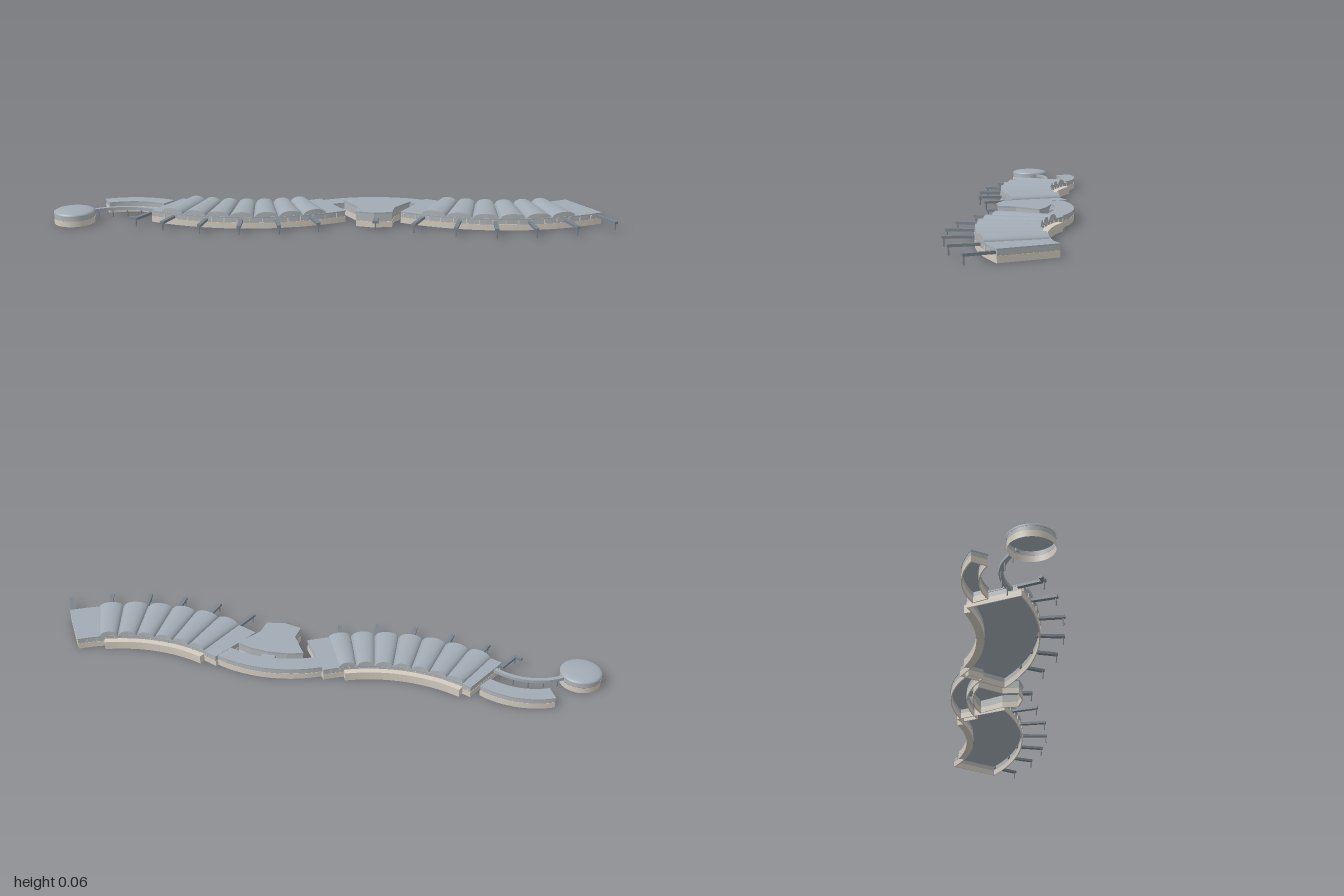
import * as THREE from 'three';

const mat = (name, color, side = THREE.FrontSide) => {
  const m = new THREE.MeshStandardMaterial({ color, side });
  m.name = name;
  return m;
};
const RAD = Math.PI / 180;

export function createModel() {
  const roof = mat('blue grey roofing', 0xa2abb4);
  const wall = mat('pale beige wall', 0xd4ccc0, THREE.DoubleSide);
  const glass = mat('grey glazing', 0xb0b5b7, THREE.DoubleSide);
  const steel = mat('grey steel', 0x7a848d);
  const model = new THREE.Group();
  model.name = 'terminal';

  const add = (parent, name, geo, material) => {
    const m = new THREE.Mesh(geo, material);
    m.name = name;
    parent.add(m);
    return m;
  };
  const group = (name) => {
    const g = new THREE.Group();
    g.name = name;
    model.add(g);
    return g;
  };
  // Point on a plan circle; angle in degrees from +z toward +x
  const polar = (c, r, a) => new THREE.Vector2(c[0] + r * Math.sin(a * RAD), c[1] + r * Math.cos(a * RAD));

  // Plan outline of a ring sector, grown outwards by g
  const sector = (c, r0, r1, a0, a1) => (g = 0) => {
    const pts = [], n = 24;
    for (let i = 0; i <= n; i++) pts.push([r1 + g, i / n]);
    for (let i = n; i >= 0; i--) pts.push([r0 - g, i / n]);
    return pts.map(([r, t]) => {
      const e = g / r / RAD;
      return polar(c, r, a0 - e + (a1 - a0 + 2 * e) * t);
    });
  };

  // Upright slab from a plan outline, optionally hollow
  const slab = (outline, y0, y1, grow = 0, hollow = 0) => {
    const shape = new THREE.Shape(outline(grow));
    if (hollow) shape.holes.push(new THREE.Path(outline(grow - hollow)));
    const geo = new THREE.ExtrudeGeometry(shape, { depth: y1 - y0, bevelEnabled: false });
    return geo.rotateX(Math.PI / 2).translate(0, y1, 0);
  };

  // Low wall, window band and flat roof over one outline, open underneath
  const building = (name, outline, top, thick = 0.004) => {
    const g = group(name);
    add(g, 'lowerWall', slab(outline, 0, 0.021, 0, 0.004), wall);
    add(g, 'windowBand', slab(outline, 0.021, top - thick, -0.001, 0.003), glass);
    add(g, 'roof', slab(outline, top - thick, top, 0.001), roof);
    return g;
  };

  // Tapered barrel vault running outwards along a radius
  const vault = (c, a, half, r0, r1, y, h) => {
    const geo = new THREE.CylinderGeometry(1, 1, 1, 16, 1, false, -Math.PI / 2, Math.PI);
    const p = geo.attributes.position;
    for (let i = 0; i < p.count; i++) {
      const q = polar(c, r0 + (0.5 - p.getY(i)) * (r1 - r0), a + p.getX(i) * half);
      p.setXYZ(i, q.x, y + h * p.getZ(i), q.y);
    }
    geo.computeVertexNormals();
    return geo;
  };

  const column = (parent, p, top) =>
    add(parent, 'column', new THREE.CylinderGeometry(0.0025, 0.0025, top, 6).translate(p.x, top / 2, p.y), steel);

  const wings = [
    { name: 'rightWing', c: [-0.355, -0.592], r1: 0.72, a: [-24.4, 33.5], v: [-21, 27.5], n: 7, tip: 0.805,
      piers: [-25, -17, -7, 3, 13, 23] },
    { name: 'leftWing', c: [0.555, -0.656], r1: 0.732, a: [-25.4, 33.2], v: [-19.4, 24.7], n: 6, tip: 0.832,
      piers: [-18.7, -8.3, 1.5, 11, 21.3, 32] },
  ];
  for (const w of wings) {
    const g = building(w.name, sector(w.c, 0.53, w.r1, ...w.a), 0.042);
    add(g, 'rearLedge', slab(sector(w.c, 0.507, 0.53, w.v[0], w.v[1] - 2), 0, 0.03), wall);

    // Row of roof vaults
    const step = (w.v[1] - w.v[0]) / w.n;
    for (let i = 0; i < w.n; i++) {
      const geo = vault(w.c, w.v[0] + step * (i + 0.5), step * 0.48, 0.53, w.r1 - 0.001, 0.041, 0.019);
      add(g, 'roofVault', geo, [roof, glass, glass]);
    }

    // Window mullions on front and rear
    for (let a = w.a[0] + 1; a < w.a[1]; a += 3.6) {
      for (const r of [0.53, w.r1]) {
        const p = polar(w.c, r, a);
        const geo = new THREE.BoxGeometry(0.003, 0.016, 0.003).rotateY(a * RAD).translate(p.x, 0.029, p.y);
        add(g, 'mullion', geo, wall);
      }
    }

    // Boarding piers, each on a thin column at the tip
    for (const a of w.piers) {
      const len = w.tip - w.r1 + 0.01;
      const p = polar(w.c, w.tip - len / 2, a);
      const geo = new THREE.BoxGeometry(0.014, 0.009, len).rotateY(a * RAD).translate(p.x, 0.03, p.y);
      add(g, 'pier', geo, steel);
      column(g, polar(w.c, w.tip - 0.006, a), 0.028);
    }
  }
  add(model, 'pierHook', new THREE.BoxGeometry(0.024, 0.009, 0.012).rotateY(-0.35).translate(-0.706, 0.03, 0.125), steel);

  // Curved corridors: the centre link and the far tail
  building('linkCorridor', sector([0.17, 0.242], 0.373, 0.436, 155, 214), 0.041);
  building('tailCorridor', sector([-0.73, 0.149], 0.213, 0.27, 152, 209), 0.04);

  // Fan-shaped central pavilion
  const plan = [[0.03, -0.088], [0.083, -0.106], [0.152, -0.113], [0.22, -0.106], [0.272, -0.088],
    [0.217, 0], [0.212, 0.06], [0.148, 0.075], [0.083, 0.06], [0.087, 0]];
  const fan = (g = 0) => plan.map(([x, z]) =>
    new THREE.Vector2(0.15 + (x - 0.15) * (1 + g * 12), -0.02 + (z + 0.02) * (1 + g * 12)));
  const pavilion = building('pavilion', fan, 0.055, 0.006);
  add(pavilion, 'rearLink', new THREE.BoxGeometry(0.05, 0.012, 0.024).translate(0.15, 0.034, -0.12), roof);
  add(pavilion, 'entranceCanopy', new THREE.BoxGeometry(0.02, 0.009, 0.04).translate(0.155, 0.03, 0.09), steel);
  column(pavilion, new THREE.Vector2(0.155, 0.105), 0.028);

  // Round satellite with a shallow domed roof
  const satellite = group('satellite');
  const drum = (r, y0, y1) => new THREE.CylinderGeometry(r, r, y1 - y0, 40, 1, true).translate(0, (y0 + y1) / 2, 0);
  add(satellite, 'lowerWall', drum(0.072, 0, 0.021), wall);
  add(satellite, 'windowBand', drum(0.071, 0.021, 0.037), glass);
  add(satellite, 'ceiling', new THREE.CylinderGeometry(0.072, 0.072, 0.002, 40).translate(0, 0.037, 0), roof);
  const dome = [[0.073, 0.037], [0.073, 0.042], [0.066, 0.046], [0.05, 0.05], [0.025, 0.0525], [0, 0.053]];
  add(satellite, 'domedRoof', new THREE.LatheGeometry(dome.map(([x, y]) => new THREE.Vector2(x, y)), 40), roof);
  satellite.position.set(-0.927, 0, 0.09);

  // Raised curved walkway out to the satellite
  const walkway = group('walkway');
  const c = [-0.74, 0.2];
  add(walkway, 'deck', slab(sector(c, 0.192, 0.207, 146, 222), 0.026, 0.037), roof);
  for (let a = 155; a < 220; a += 15) column(walkway, polar(c, 0.2, a), 0.027);

  return model;
}
